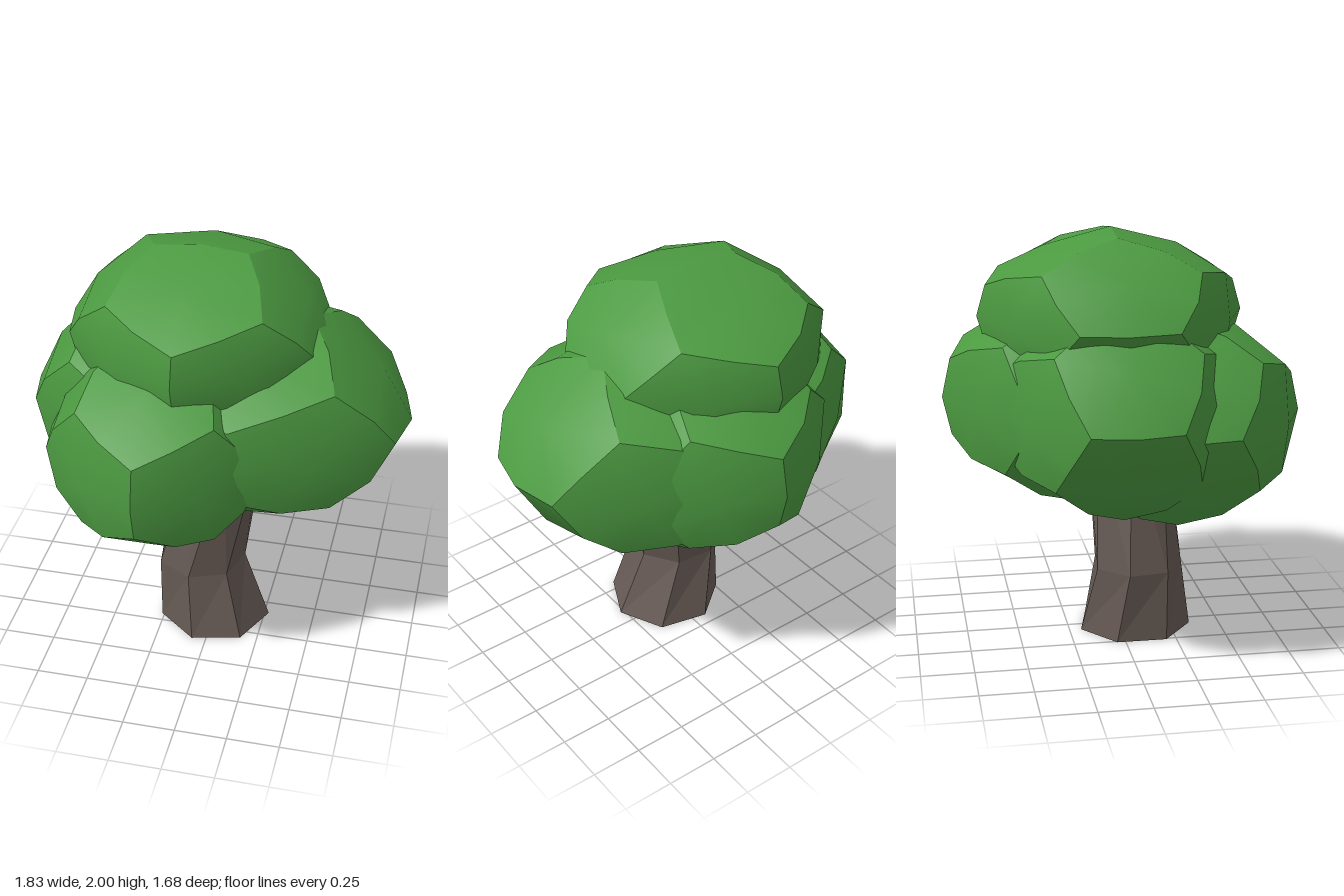
import * as THREE from 'three';

const leafMaterial = new THREE.MeshStandardMaterial({ color: 0x4c9a41 });
const barkMaterial = new THREE.MeshStandardMaterial({ color: 0x665a54, flatShading: true });

// Dodecahedron whose pentagons are slightly puffed, with crisp edges between them
function puffedDodecahedron(rx, ry, rz) {
  const source = new THREE.DodecahedronGeometry(1).getAttribute('position');
  const positions = [], index = [];
  const corner = (i) => new THREE.Vector3().fromBufferAttribute(source, i);
  for (let f = 0; f < source.count; f += 9) {
    // each face is a fan of three triangles, with the shared corner stored last
    const pentagon = [2, 0, 1, 4, 7].map((k) => corner(f + k));
    const centre = new THREE.Vector3();
    pentagon.forEach((p) => centre.add(p));
    centre.setLength(0.945);
    const base = positions.length / 3;
    positions.push(...centre.toArray());
    pentagon.forEach((p, k) => {
      const middle = p.clone().add(pentagon[(k + 1) % 5]).normalize();
      positions.push(...p.toArray(), ...middle.toArray());
    });
    for (let k = 0; k < 10; k++) index.push(base, base + 1 + k, base + 1 + ((k + 1) % 10));
  }
  const geometry = new THREE.BufferGeometry();
  geometry.setAttribute('position', new THREE.Float32BufferAttribute(positions, 3));
  geometry.setIndex(index);
  geometry.scale(rx, ry, rz);
  geometry.computeVertexNormals();
  return geometry;
}

// Seven-sided bent trunk: rings give height, centre, radius and twist
function trunkGeometry() {
  const rings = [
    { y: 0, x: -0.008, z: 0.08, r: 0.28, twist: 0 },
    { y: 0.345, x: -0.078, z: 0.083, r: 0.22, twist: 0.14 },
    { y: 1.0, x: 0.04, z: 0.055, r: 0.198, twist: -0.5 },
  ];
  const geometry = new THREE.CylinderGeometry(1, 1, 2, 7, 2, false, Math.PI / 2);
  const position = geometry.getAttribute('position');
  for (let i = 0; i < position.count; i++) {
    const ring = rings[Math.round(position.getY(i) + 1)];
    const v = new THREE.Vector3(position.getX(i), 0, position.getZ(i));
    v.applyAxisAngle(new THREE.Vector3(0, 1, 0), ring.twist).multiplyScalar(ring.r);
    position.setXYZ(i, v.x + ring.x, ring.y, v.z + ring.z);
  }
  geometry.computeVertexNormals();
  return geometry;
}

export function createModel() {
  const tree = new THREE.Group();
  tree.name = 'tree';

  const trunk = new THREE.Mesh(trunkGeometry(), barkMaterial);
  trunk.name = 'trunk';
  tree.add(trunk);

  // Foliage clumps: centre and radii
  const clumps = [
    ['topFoliage', [-0.1, 1.6, -0.05], [0.616, 0.4, 0.625]],
    ['leftFoliage', [0.148, 1.2, -0.05], [0.762, 0.53, 0.635]],
    ['rightFoliage', [-0.285, 1.2, -0.05], [0.63, 0.525, 0.575]],
    ['frontFoliage', [-0.22, 1.125, 0.22], [0.55, 0.52, 0.62]],
    ['backFoliage', [-0.01, 1.2, -0.22], [0.59, 0.515, 0.62]],
  ];
  const foliage = new THREE.Group();
  foliage.name = 'foliage';
  for (const [name, centre, radii] of clumps) {
    const clump = new THREE.Mesh(puffedDodecahedron(...radii), leafMaterial);
    clump.name = name;
    clump.position.set(...centre);
    foliage.add(clump);
  }
  tree.add(foliage);
  return tree;
}
